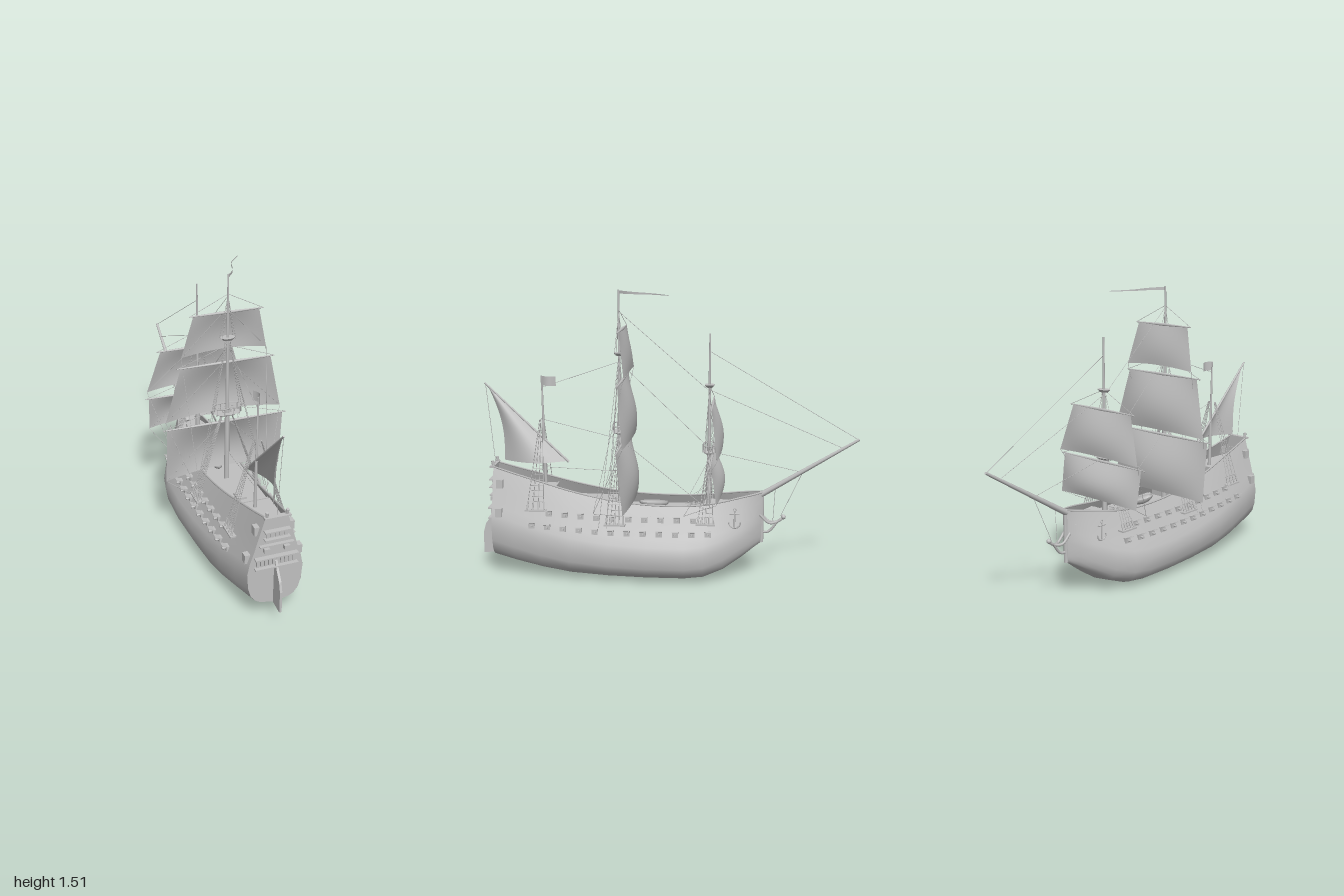
import * as THREE from 'three';
import { mergeGeometries } from 'three/addons/utils/BufferGeometryUtils.js';

const V = (x, y, z) => new THREE.Vector3(x, y, z);
const lerp = THREE.MathUtils.lerp;

// Hull stations: z, keel height, rail height, greatest half width, rail half width
const stations = [
  [0.92, 0.09, 0.58, 0.14, 0.055], [0.8, 0.06, 0.545, 0.16, 0.066], [0.65, 0.03, 0.505, 0.185, 0.08],
  [0.5, 0.01, 0.465, 0.205, 0.092], [0.3, 0.002, 0.425, 0.22, 0.103], [0.1, 0, 0.405, 0.23, 0.112],
  [-0.1, 0, 0.403, 0.226, 0.112], [-0.2, 0.008, 0.41, 0.208, 0.104], [-0.3, 0.045, 0.425, 0.165, 0.085],
  [-0.4, 0.11, 0.443, 0.107, 0.055], [-0.46, 0.155, 0.453, 0.062, 0.034], [-0.5, 0.185, 0.46, 0.012, 0.012],
];
const levels = [0, 0.03, 0.06, 0.12, 0.22, 0.38, 0.5, 0.6, 0.8, 1];
const fullness = [0, 0.52, 0.7, 0.86, 0.96, 1];

function station(z) {
  let i = 0;
  while (i < stations.length - 2 && z < stations[i + 1][0]) i++;
  const a = stations[i], b = stations[i + 1];
  const t = THREE.MathUtils.clamp((a[0] - z) / (a[0] - b[0]), 0, 1);
  return a.map((v, k) => lerp(v, b[k], t));
}
function widthAt(s, i) {
  if (i < 6) return s[3] * fullness[i];
  return lerp(s[3], s[4], [0.13, 0.33, 0.66, 1][i - 6]);
}
function hullX(z, y) {
  const s = station(z), f = THREE.MathUtils.clamp((y - s[1]) / (s[2] - s[1]), 0, 1);
  let i = 0;
  while (i < 8 && f > levels[i + 1]) i++;
  return lerp(widthAt(s, i), widthAt(s, i + 1), (f - levels[i]) / (levels[i + 1] - levels[i]));
}

// Grid surface from a rule of u and v
function surface(fn, nu, nv) {
  const g = new THREE.PlaneGeometry(1, 1, nu, nv), p = g.attributes.position;
  for (let i = 0; i < p.count; i++) {
    const q = fn((i % (nu + 1)) / nu, Math.floor(i / (nu + 1)) / nv);
    p.setXYZ(i, q.x, q.y, q.z);
  }
  g.computeVertexNormals();
  return g;
}
// Tapered round bar between two points
function bar(a, b, r0, r1 = r0, sides = 8) {
  const d = b.clone().sub(a);
  const g = new THREE.CylinderGeometry(r1, r0, d.length(), sides);
  g.applyQuaternion(new THREE.Quaternion().setFromUnitVectors(V(0, 1, 0), d.normalize()));
  return g.translate((a.x + b.x) / 2, (a.y + b.y) / 2, (a.z + b.z) / 2);
}
const box = (w, h, d, x, y, z) => new THREE.BoxGeometry(w, h, d).translate(x, y, z);

export function createModel() {
  const ship = new THREE.Group();
  ship.name = 'sailingShip';
  const grey = new THREE.MeshStandardMaterial({ color: 0xc0c0c0, side: THREE.DoubleSide });
  grey.name = 'plainGrey';
  const add = (name, ...geos) => {
    const m = new THREE.Mesh(geos.length > 1 ? mergeGeometries(geos) : geos[0], grey);
    m.name = name;
    ship.add(m);
  };

  // Hull shell, stern plate and rails
  const n = stations.length - 1;
  for (const side of [1, -1]) {
    add('hullSide', surface((u, v) => {
      const s = stations[Math.round(v * n)], i = Math.round(u * 9);
      return V(side * widthAt(s, i), lerp(s[1], s[2], levels[i]), s[0]);
    }, 9, n));
    const rail = new THREE.CatmullRomCurve3(stations.map(s => V(side * s[4], s[2], s[0])));
    add('rail', new THREE.TubeGeometry(rail, 40, 0.005, 5));
  }
  add('transom', surface((u, v) => {
    const y = lerp(0.09, 0.58, v);
    return V((2 * u - 1) * hullX(0.92, y), y, 0.92);
  }, 2, 24));
  add('stem', bar(V(0, 0.185, -0.5), V(0, 0.46, -0.5), 0.012));

  // Decks, with bulkheads at the steps
  for (const [z0, z1, y] of [[0.92, 0.6, 0.46], [0.6, 0.27, 0.395], [0.27, -0.2, 0.35], [-0.2, -0.495, 0.385]])
    add('deck', surface((u, v) => {
      const z = lerp(z0, z1, v);
      return V((2 * u - 1) * hullX(z, y), y, z);
    }, 1, 10));
  add('bulkheads', box(0.18, 0.07, 0.008, 0, 0.43, 0.6), box(0.2, 0.05, 0.008, 0, 0.37, 0.27),
    box(0.2, 0.04, 0.008, 0, 0.365, -0.2));
  add('hatches', box(0.06, 0.012, 0.07, 0, 0.355, -0.06), box(0.05, 0.012, 0.05, 0, 0.39, -0.33),
    box(0.05, 0.012, 0.06, 0, 0.4, 0.45));
  add('boat', new THREE.SphereGeometry(1, 12, 6, 0, Math.PI * 2, Math.PI / 2, Math.PI / 2)
    .scale(0.03, 0.035, 0.08).translate(0, 0.395, 0.07));
  const capstan = [new THREE.CylinderGeometry(0.01, 0.014, 0.04, 8).translate(0, 0.37, -0.14)];
  for (let i = 0; i < 4; i++) capstan.push(box(0.09, 0.004, 0.004, 0, 0, 0).rotateY(i * Math.PI / 4).translate(0, 0.385, -0.14));
  add('capstan', ...capstan);

  // Rudder
  const rudder = new THREE.Shape([[0.92, 0.09], [1, 0.085], [1, 0.2], [0.985, 0.25], [0.95, 0.3], [0.92, 0.36]].map(p => new THREE.Vector2(...p)));
  add('rudder', new THREE.ExtrudeGeometry(rudder, { depth: 0.012, bevelEnabled: false }).rotateY(-Math.PI / 2).translate(0.006, 0, 0));

  // Stern windows and galleries
  const stern = [];
  for (const [count, half, y, h] of [[10, 0.1, 0.337, 0.042], [5, 0.056, 0.487, 0.03]]) {
    for (let i = 0; i < count; i++) {
      const w = 2 * half / count;
      stern.push(box(w * 0.75, h, 0.008, -half + w * (i + 0.5), y, 0.926));
    }
    for (const s of [1, -1]) stern.push(box(half * 2 + 0.015, 0.007, 0.03, 0, y + s * (h / 2 + 0.006), 0.93));
  }
  stern.push(box(0.13, 0.01, 0.025, 0, 0.58, 0.925), box(0.17, 0.006, 0.02, 0, 0.43, 0.928));
  for (const s of [1, -1]) {
    stern.push(box(0.028, 0.022, 0.02, s * 0.05, 0.405, 0.93));
    for (const y of [0.35, 0.495]) stern.push(box(0.028, 0.045, 0.035, s * (hullX(0.88, y) + 0.005), y, 0.88));
    stern.push(bar(V(s * 0.05, 0.58, 0.92), V(s * 0.05, 0.61, 0.925), 0.008));
  }
  add('sternGallery', ...stern);

  // Gun ports: frame, raised lid and barrel
  for (const [y, first, count] of [[0.268, 0.7, 12], [0.335, 0.61, 10]]) {
    const parts = [];
    for (let i = 0; i < count; i++) for (const s of [1, -1]) {
      const z = first - i * 0.084, yy = y + Math.max(0, z - 0.3) * 0.06, x = hullX(z, yy);
      parts.push(box(0.02, 0.027, 0.032, s * x, yy, z));
      parts.push(box(0.03, 0.004, 0.034, 0, 0, 0).rotateZ(s * 0.35).translate(s * (x + 0.018), yy + 0.017, z));
      parts.push(bar(V(s * x, yy, z), V(s * (x + 0.028), yy, z), 0.006));
    }
    add('gunPorts', ...parts);
  }

  // Masts with platforms
  add('mainMast', bar(V(0, 0.3, 0.25), V(0, 0.8, 0.25), 0.015, 0.012), bar(V(0, 0.8, 0.25), V(0, 1.51, 0.25), 0.01, 0.004));
  add('foreMast', bar(V(0, 0.33, -0.22), V(0, 0.72, -0.22), 0.014, 0.011), bar(V(0, 0.7, -0.22), V(0, 1.29, -0.22), 0.009, 0.004));
  add('mizzenMast', bar(V(0, 0.4, 0.65), V(0, 1.06, 0.66), 0.01, 0.004));
  add('bowsprit', bar(V(0, 0.385, -0.4), V(0, 0.75, -0.995), 0.017, 0.007));
  for (const [y, z, r] of [[0.77, 0.25, 0.055], [0.67, -0.22, 0.05]]) {
    const top = [new THREE.CylinderGeometry(r, r * 0.7, 0.01, 12).scale(1.3, 1, 0.65).translate(0, y, z)];
    const ring = new THREE.TorusGeometry(r, 0.003, 4, 16).rotateX(Math.PI / 2).scale(1.4, 1, 0.65);
    top.push(ring.translate(0, y + 0.04, z));
    for (let i = 0; i < 10; i++) {
      const a = i * Math.PI / 5, x = Math.cos(a) * r * 1.35, d = Math.sin(a) * r * 0.65;
      top.push(bar(V(x, y, z + d), V(x, y + 0.04, z + d), 0.0025, 0.0025, 4));
    }
    add('fightingTop', ...top);
  }
  for (const [y, z] of [[1.18, 0.25], [1.02, -0.22]])
    add('crosstree', new THREE.CylinderGeometry(0.038, 0.025, 0.014, 10).scale(1, 1, 0.7).translate(0, y, z));

  // Square sails: mast z, top, foot, half widths, belly
  const ropes = [];
  const rope = (a, b, r = 0.0013) => ropes.push(bar(V(...a), V(...b), r, r, 4));
  const sails = [
    [0.25, 0.715, 0.4, 0.31, 0.31, 0.055], [0.25, 1.045, 0.74, 0.235, 0.307, 0.045], [0.25, 1.31, 1.085, 0.168, 0.222, 0.02],
    [-0.22, 0.655, 0.455, 0.27, 0.265, 0.045], [-0.22, 0.925, 0.68, 0.2, 0.272, 0.035],
  ];
  for (const [z, y0, y1, w0, w1, belly] of sails) {
    add('squareSail', surface((u, v) => {
      const a = 2 * u - 1;
      return V(a * lerp(w0, w1, v), lerp(y0, y1, v) + 0.015 * v * (1 - a * a),
        z - 0.02 - 0.03 * v - belly * (1 - a * a) * Math.sin(Math.PI * v * 0.8));
    }, 16, 10));
    const e = w0 + 0.02, yz = z - 0.017;
    for (const s of [1, -1]) {
      add('yard', bar(V(0, y0, yz), V(s * e, y0, yz), 0.008, 0.003));
      rope([s * e, y0, yz], [0, y0 + 0.1, z]);
      rope([s * w1, y1, z - 0.05], [s * 0.02, y0, yz]);
      rope([s * w1, y1, z - 0.05], [s * 0.18, 0.37, z + 0.12]);
    }
  }

  // Lateen sail on its slanted yard
  add('lateenSail', surface((u, v) => {
    const z = lerp(lerp(0.955, 0.53, v), lerp(0.95, 0.87, v), u), y = lerp(1.01, 0.605, v);
    return V(0.065 * Math.sin(Math.PI * u) * v, y, z - 0.03 * u * Math.sin(Math.PI * v));
  }, 12, 14));
  add('lateenYard', bar(V(0, 1.02, 0.965), V(0, 0.6, 0.525), 0.005, 0.007));

  // Pennant and flag
  add('pennant', surface((u, v) => V(0.14 * u + 0.012 * Math.sin(u * 7), 1.507 - 0.012 * u - v * lerp(0.016, 0.003, u), 0.25 - 0.27 * u), 16, 1));
  add('flag', surface((u, v) => V(0.02 * Math.sin(u * 3), 1.062 - v * 0.05 - u * 0.004, 0.665 - 0.08 * u), 8, 1));

  // Shrouds with ratlines
  for (const [z, topY, yBase, count, spread] of [[0.26, 0.78, 0.31, 5, 0.09], [-0.21, 0.68, 0.32, 5, 0.08], [0.68, 0.83, 0.37, 4, 0.09]])
    for (const s of [1, -1]) {
      const x = hullX(z, yBase) + 0.02, low = V(s * x, yBase, z), high = V(s * 0.02, topY, z - 0.015);
      add('channel', box(0.04, 0.008, spread + 0.02, s * (x - 0.012), yBase, z));
      const off = (k, t) => (k / (count - 1) - 0.5) * spread * (1 - t * 0.85);
      const at = (k, t) => { const p = low.clone().lerp(high, t); return [p.x, p.y, p.z + off(k, t)]; };
      for (let k = 0; k < count; k++) {
        rope(at(k, 0), at(k, 1), 0.002);
        add('deadeye', bar(V(...at(k, 0)), V(...at(k, 0.1)), 0.005));
      }
      for (let t = 0.1; t < 0.9; t += 0.06) rope(at(0, t), at(count - 1, t));
    }
  for (const s of [1, -1]) for (const d of [-0.02, 0.02]) {
    rope([s * 0.07, 0.81, 0.25 + d], [s * 0.01, 1.18, 0.25]);
    rope([s * 0.065, 0.71, -0.22 + d], [s * 0.01, 1.02, -0.22]);
    rope([s * 0.035, 1.18, 0.25 + d], [0, 1.4, 0.25]);
    rope([s * 0.2, 0.3, 0.32 + d], [0, 1.18, 0.25]);
  }
  // Stays
  [[1.4, 0.25, 1, -0.21], [1.11, 0.22, 0.71, -0.2], [0.73, 0.25, 0.37, -0.2], [1.2, -0.22, 0.75, -0.99], [1, -0.22, 0.7, -0.92],
    [0.67, -0.24, 0.57, -0.71], [1, 0.66, 1.14, 0.25], [0.83, 0.66, 0.73, 0.25], [0.57, 0.64, 0.555, 0.25], [0.57, -0.71, 0.33, -0.6],
    [0.49, -0.57, 0.3, -0.56], [1.01, 0.96, 0.58, 0.92]].forEach(([y0, z0, y1, z1]) => rope([0, y0, z0], [0, y1, z1]));
  add('rigging', ...ropes);

  // Beakhead with carved end
  const beak = [];
  for (const [x, y] of [[0, 0.2], [0.02, 0.3], [-0.02, 0.3]]) {
    const c = new THREE.CatmullRomCurve3([V(x, y + 0.04, -0.49), V(x * 0.8, (y + 0.29) / 2, -0.54), V(0, 0.3, -0.585), V(0, 0.325, -0.62)]);
    beak.push(new THREE.TubeGeometry(c, 12, 0.007, 6));
  }
  beak.push(new THREE.SphereGeometry(0.013, 8, 6).translate(0, 0.325, -0.615));
  add('beakhead', ...beak);

  // Anchors
  for (const s of [1, -1]) {
    const x = s * (hullX(-0.36, 0.34) + 0.018), z = -0.36;
    add('anchor', bar(V(x, 0.29, z), V(x, 0.385, z), 0.004), bar(V(x, 0.37, z - 0.025), V(x, 0.37, z + 0.025), 0.004),
      new THREE.TorusGeometry(0.03, 0.004, 5, 12, Math.PI).rotateZ(Math.PI).rotateY(Math.PI / 2).translate(x, 0.322, z),
      new THREE.TorusGeometry(0.008, 0.002, 4, 10).rotateY(Math.PI / 2).translate(x, 0.39, z));
  }
  return ship;
}
